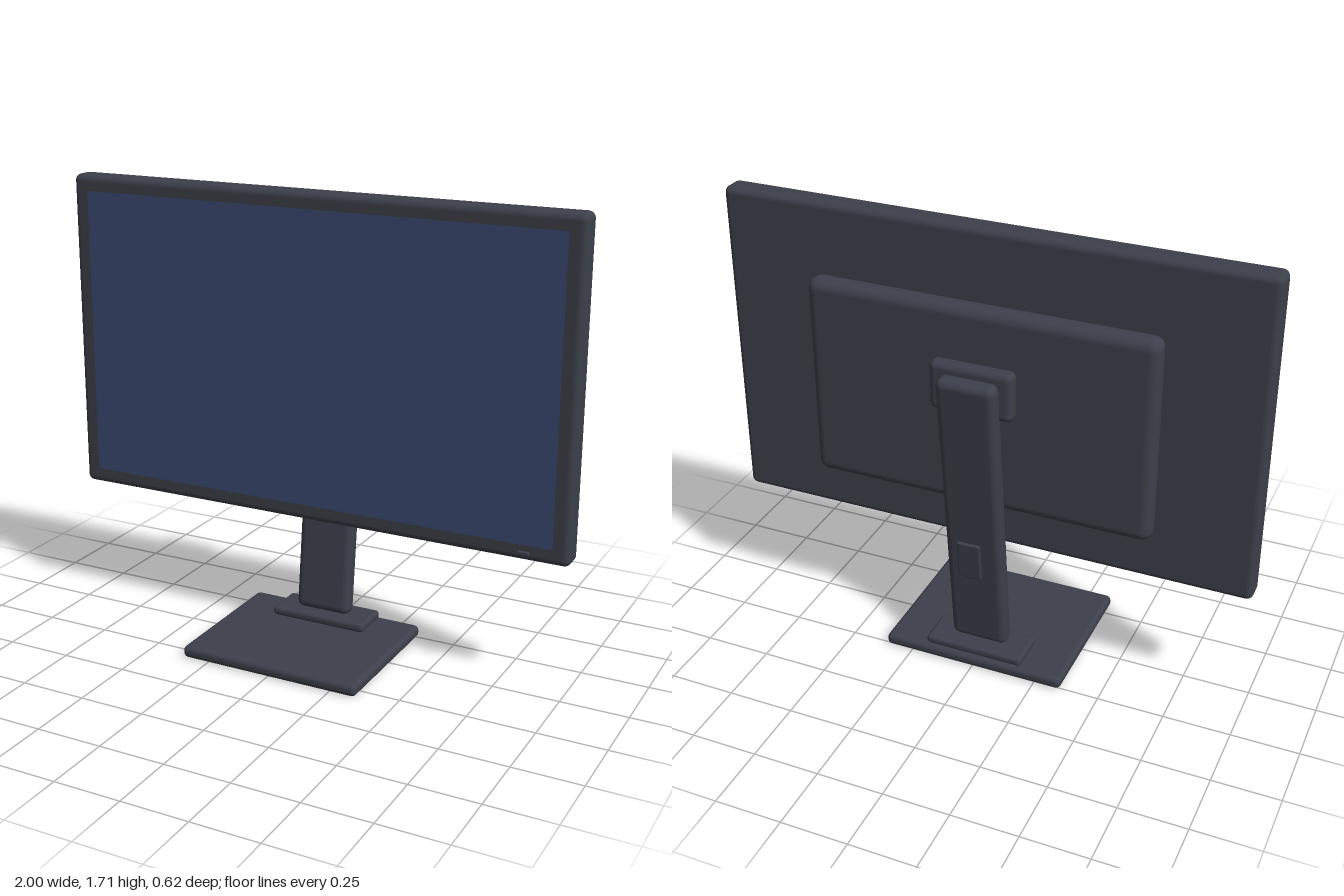
import * as THREE from 'three';
import { RoundedBoxGeometry } from 'three/addons/geometries/RoundedBoxGeometry.js';

export function createModel() {
  const group = new THREE.Group();
  group.name = 'monitor';

  const material = (name, color) => {
    const m = new THREE.MeshStandardMaterial({ color });
    m.name = name;
    return m;
  };
  const casing = material('casing', 0x3c404b);
  const bezelGrey = material('bezelGrey', 0x3c3f46);
  const screenBlue = material('screenBlue', 0x3b4a72);

  const add = (name, geometry, mat, x, y, z, tilt = 0) => {
    const mesh = new THREE.Mesh(geometry, mat);
    mesh.name = name;
    mesh.position.set(x, y, z);
    mesh.rotation.x = tilt;
    group.add(mesh);
  };
  // Rounded box given by its lower and upper limits
  const block = (name, [x0, x1], [y0, y1], [z0, z1], radius) =>
    add(name, new RoundedBoxGeometry(x1 - x0, y1 - y0, z1 - z0, 4, radius), casing,
      (x0 + x1) / 2, (y0 + y1) / 2, (z0 + z1) / 2);

  // Display head
  block('panel', [-1, 1], [0.49, 1.71], [-0.12, -0.025], 0.025);
  block('rearHousing', [-0.645, 0.645], [0.685, 1.455], [-0.205, -0.115], 0.04);
  block('mountBracket', [-0.155, 0.155], [1.075, 1.26], [-0.255, -0.195], 0.025);
  block('powerButton', [0.817, 0.857], [0.514, 0.528], [-0.03, -0.011], 0.003);

  // Bezel face as a thin frame, with the screen in its opening
  const rect = (path, w, h) => path.moveTo(-w, -h).lineTo(w, -h).lineTo(w, h).lineTo(-w, h).closePath();
  const frame = rect(new THREE.Shape(), 0.975, 0.585);
  frame.holes.push(rect(new THREE.Path(), 0.938, 0.55));
  add('bezel', new THREE.ExtrudeGeometry(frame, { depth: 0.002, bevelEnabled: false }), bezelGrey, 0, 1.1, -0.026);
  add('screen', new THREE.BoxGeometry(1.876, 1.1, 0.004), screenBlue, 0, 1.1, -0.026);

  // Stand: leaning column with a cable clip behind it
  const lean = -0.102;
  add('column', new RoundedBoxGeometry(0.22, 1.148, 0.07, 4, 0.028), casing, 0, 0.652, -0.218, lean);
  add('cableClip', new RoundedBoxGeometry(0.09, 0.155, 0.015, 3, 0.007), casing, 0, 0.488, -0.268, lean);
  block('collar', [-0.192, 0.192], [0.045, 0.08], [-0.25, -0.09], 0.014);
  block('base', [-0.355, 0.355], [0, 0.047], [-0.265, 0.315], 0.02);

  return group;
}
